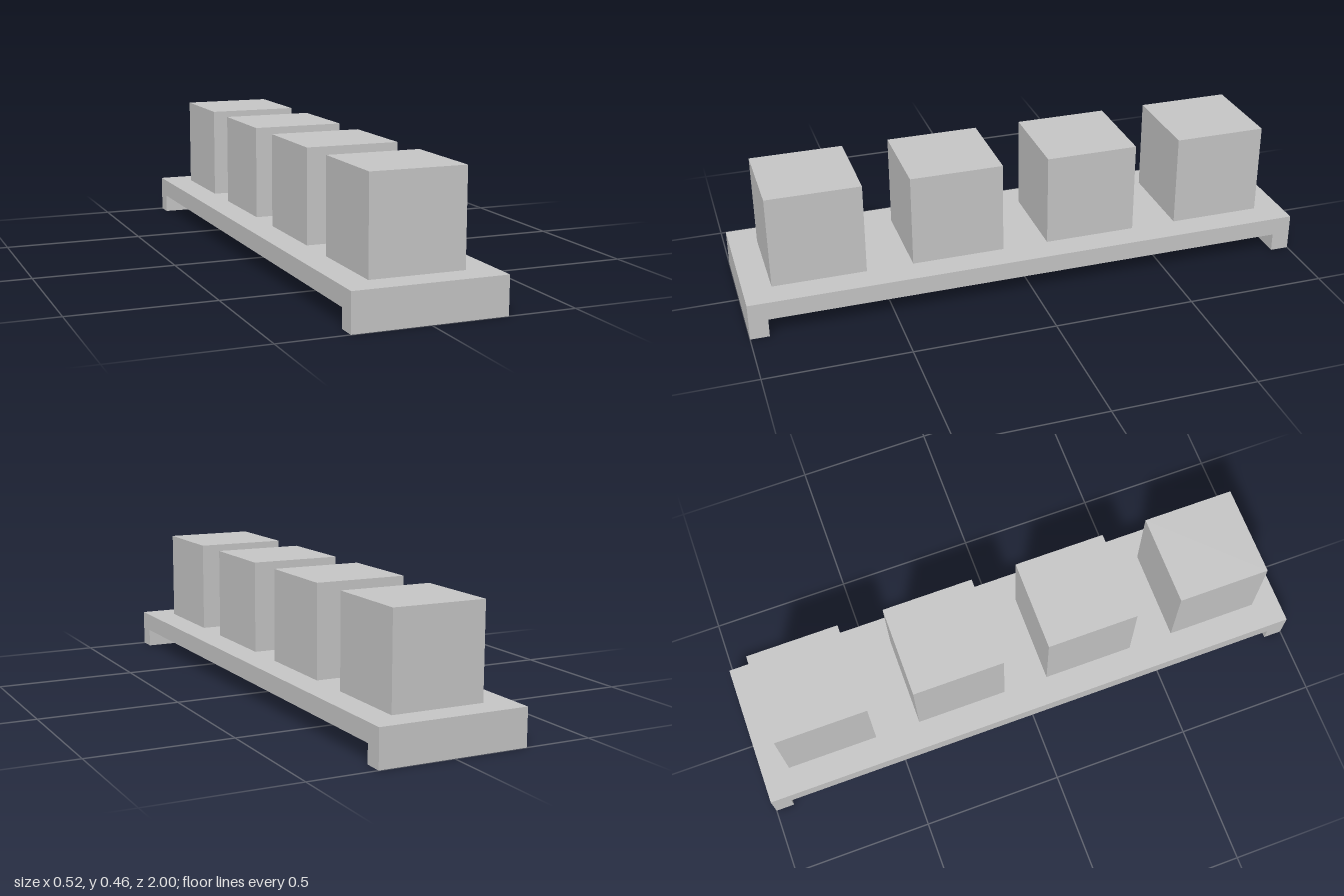
import * as THREE from 'three';

export function createModel() {
  const group = new THREE.Group();
  const grey = new THREE.MeshStandardMaterial({ color: 0xc8c8c8 });
  grey.name = 'light grey';

  const width = 0.525, top = 0.131, under = 0.066, inner = 0.934, cube = 0.328;

  // Bench: a flat deck with a low foot across each end, extruded over its width
  const profile = new THREE.Shape([
    [-1, 0], [-inner, 0], [-inner, under], [inner, under],
    [inner, 0], [1, 0], [1, top], [-1, top],
  ].map(([z, y]) => new THREE.Vector2(z, y)));
  const benchGeometry = new THREE.ExtrudeGeometry(profile, { depth: width, bevelEnabled: false });
  benchGeometry.translate(0, 0, -width / 2).rotateY(Math.PI / 2);
  const bench = new THREE.Mesh(benchGeometry, grey);
  bench.name = 'bench';
  group.add(bench);

  // Four equal cubes in a row on the deck
  const cubeGeometry = new THREE.BoxGeometry(cube, cube, cube);
  for (let i = 0; i < 4; i++) {
    const block = new THREE.Mesh(cubeGeometry, grey);
    block.name = `cube${i + 1}`;
    block.position.set(0, top + cube / 2, 0.738 - i * 0.492);
    group.add(block);
  }

  return group;
}
